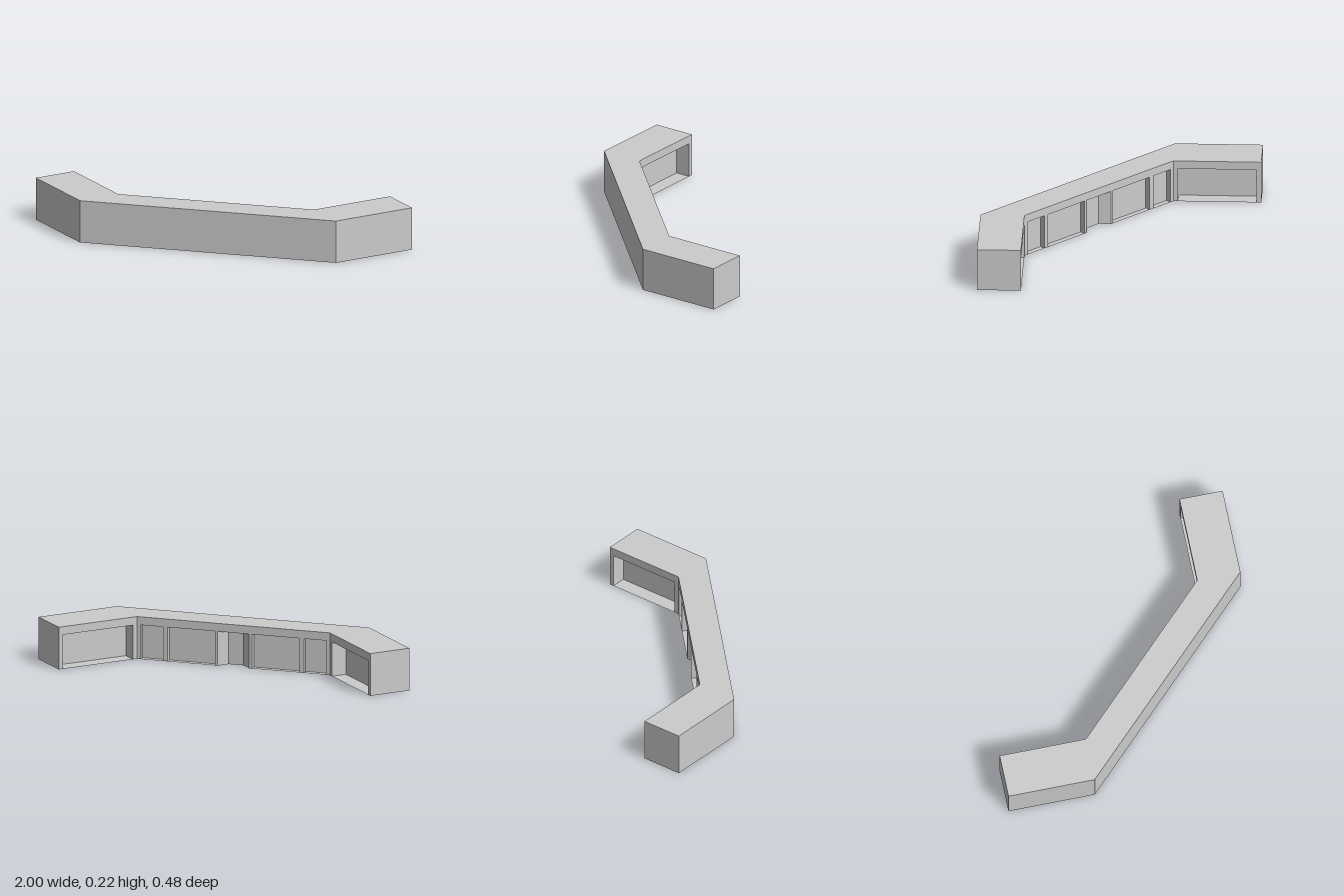
import * as THREE from 'three';

const H = 0.225;       // overall height
const OPEN_H = 0.182;  // height of the openings in the inner walls

const material = new THREE.MeshStandardMaterial({ color: 0xcccccc, side: THREE.DoubleSide, flatShading: true });

function addMesh(parent, name, geometry) {
  const mesh = new THREE.Mesh(geometry, material);
  mesh.name = name;
  parent.add(mesh);
  return mesh;
}

// Flat four-cornered panel
function quad(a, b, c, d) {
  const geometry = new THREE.BufferGeometry();
  geometry.setAttribute('position', new THREE.Float32BufferAttribute([a, b, c, a, c, d].flat(), 3));
  geometry.computeVertexNormals();
  return geometry;
}

// Alcove behind an opening; splay draws the sides in towards the back
function addAlcove(parent, { from, to, depth, splay = 0, floor = true }) {
  const l = from + splay, r = to - splay, z = -depth;
  const alcove = new THREE.Group();
  alcove.name = floor ? 'shelfRecess' : 'kneeNotch';
  addMesh(alcove, 'recessBack', quad([l, 0, z], [r, 0, z], [r, OPEN_H, z], [l, OPEN_H, z]));
  addMesh(alcove, 'recessSideA', quad([from, 0, 0], [l, 0, z], [l, OPEN_H, z], [from, OPEN_H, 0]));
  addMesh(alcove, 'recessSideB', quad([r, 0, z], [to, 0, 0], [to, OPEN_H, 0], [r, OPEN_H, z]));
  addMesh(alcove, 'recessCeiling', quad([l, OPEN_H, z], [r, OPEN_H, z], [to, OPEN_H, 0], [from, OPEN_H, 0]));
  if (floor) addMesh(alcove, 'recessFloor', quad([from, 0, 0], [to, 0, 0], [r, 0, z], [l, 0, z]));
  parent.add(alcove);
}

// Upright wall from a to b (seen from outside, left to right) with openings down to the ground
function addWall(parent, name, a, b, openings = []) {
  const length = Math.hypot(b[0] - a[0], b[1] - a[1]);
  const wall = new THREE.Group();
  wall.name = name;
  wall.position.set(a[0], 0, a[1]);
  wall.rotation.y = Math.atan2(a[1] - b[1], b[0] - a[0]);

  const shape = new THREE.Shape();
  shape.moveTo(0, 0);
  for (const o of openings) {
    shape.lineTo(o.from, 0);
    shape.lineTo(o.from, OPEN_H);
    shape.lineTo(o.to, OPEN_H);
    shape.lineTo(o.to, 0);
    addAlcove(wall, o);
  }
  shape.lineTo(length, 0);
  shape.lineTo(length, H);
  shape.lineTo(0, H);
  addMesh(wall, name + 'Face', new THREE.ShapeGeometry(shape));
  parent.add(wall);
}

export function createModel() {
  const model = new THREE.Group();
  model.name = 'angledCounter';

  // Plan outline as [x, z]
  const outline = [
    [0.84, -0.24], [0.52, 0.08], [-0.52, 0.08], [-0.84, -0.24],
    [-1, -0.08], [-0.68, 0.24], [0.68, 0.24], [1, -0.08],
  ];

  // Countertop
  const plan = new THREE.Shape(outline.map(([x, z]) => new THREE.Vector2(x, -z)));
  const top = addMesh(model, 'countertop', new THREE.ShapeGeometry(plan).rotateX(-Math.PI / 2));
  top.position.y = H;

  // Openings: one long recess per wing, four shelves and a central notch in the middle
  const wing = [{ from: 0.024, to: 0.4285, depth: 0.08 }];
  const middle = [
    { from: 0.02, to: 0.14, depth: 0.03 },
    { from: 0.165, to: 0.42, depth: 0.03 },
    { from: 0.435, to: 0.605, depth: 0.045, splay: 0.045, floor: false },
    { from: 0.62, to: 0.875, depth: 0.03 },
    { from: 0.9, to: 1.02, depth: 0.03 },
  ];

  // Walls around the outline; the underside stays open
  const walls = [
    ['leftWingInner', wing], ['backWall', middle], ['rightWingInner', wing], ['rightEnd'],
    ['rightWingOuter'], ['frontWall'], ['leftWingOuter'], ['leftEnd'],
  ];
  walls.forEach(([name, openings], i) =>
    addWall(model, name, outline[i], outline[(i + 1) % outline.length], openings));

  return model;
}
